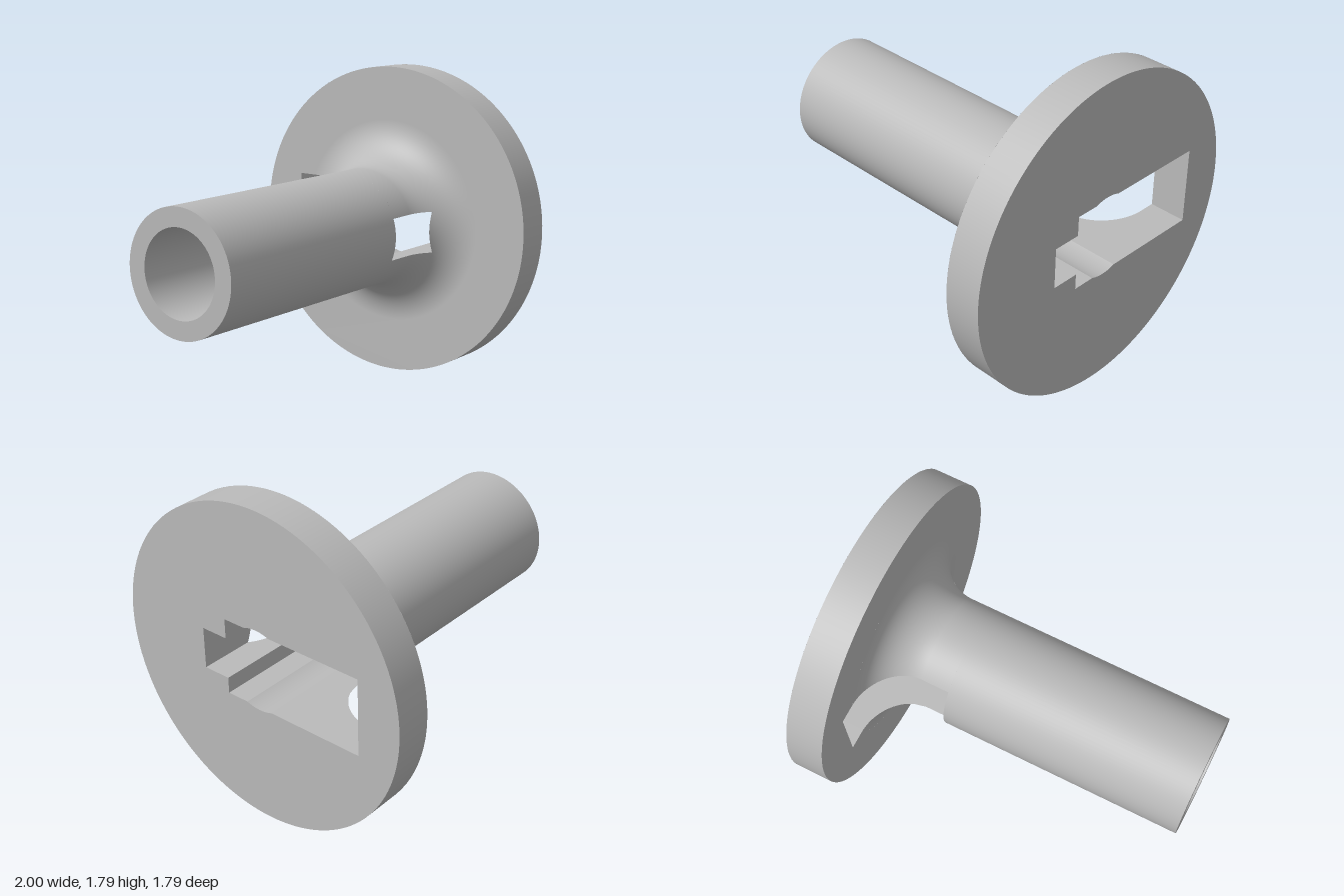
import * as THREE from 'three';
import { mergeGeometries } from 'three/addons/utils/BufferGeometryUtils.js';

// Main sizes: the part lies along x, its axis at height DISC
const DISC = 0.893, TUBE = 0.335, BORE = 0.233;
const CUT = 0.375, BACK = 0.79, END = 1;       // slot start, flange faces
const F = 0.255, FX = BACK - F, FR = TUBE + F; // fillet radius and centre
// Slot: wide rectangle plus a narrow keyway towards the front
const H = 0.218, REAR = 0.645, STEP = 0.21, KEY = 0.367, KT = 0.107, KB = 0.128;

export function createModel() {
  const grey = new THREE.MeshStandardMaterial({ color: 0xbababa, side: THREE.DoubleSide });
  grey.name = 'grey';
  const group = new THREE.Group();
  group.name = 'flangedSleeve';
  const body = new THREE.Group();
  body.name = 'body';
  body.position.y = DISC;
  group.add(body);
  const add = (name, geometry) => {
    const mesh = new THREE.Mesh(geometry, grey);
    mesh.name = name;
    body.add(mesh);
  };

  // Sharp-edged turned part: one lathe per profile segment
  const turned = (profile) => mergeGeometries(profile.slice(1).map((p, i) =>
    new THREE.LatheGeometry([new THREE.Vector2(...profile[i]), new THREE.Vector2(...p)], 96)
  )).rotateZ(-Math.PI / 2);

  add('tube', turned([[TUBE, -1], [TUBE, CUT], [BORE, CUT], [BORE, -1], [TUBE, -1]]));
  add('flangeRim', turned([[DISC, BACK], [DISC, END]]));

  // Slot outline as [-z, y], with the bore bulging past the slot
  const s = Math.asin(H / BORE);
  const outline = [];
  const line = (a, b, n = 24) => {
    for (let i = 0; i <= n; i++) {
      outline.push([a[0] + (b[0] - a[0]) * i / n, a[1] + (b[1] - a[1]) * i / n]);
    }
  };
  const arc = (from, to, n = 24) => {
    for (let i = 0; i <= n; i++) {
      const t = from + (to - from) * i / n;
      outline.push([BORE * Math.cos(t), BORE * Math.sin(t)]);
    }
  };
  const c = Math.sqrt(BORE * BORE - H * H), e = 1e-4;
  const cross = (v) => Math.sqrt(TUBE * TUBE - v * v); // where an edge leaves the tube
  line([REAR, -H], [REAR, H], 1);
  line([REAR, H], [cross(H) + e, H]);
  line([cross(H) - e, H], [c + e, H], 1);
  arc(s, Math.PI - s);
  line([-c - e, H], [-STEP, H], 1);
  line([-STEP, H], [-STEP, KT], 1);
  line([-STEP, KT], [-cross(KT) + e, KT], 1);
  line([-cross(KT) - e, KT], [-KEY, KT]);
  line([-KEY, KT], [-KEY, -KB]);
  line([-KEY, -KB], [-cross(KB) - e, -KB]);
  line([-cross(KB) + e, -KB], [-STEP, -KB], 1);
  line([-STEP, -KB], [-STEP, -H], 1);
  line([-STEP, -H], [-c - e, -H], 1);
  arc(Math.PI + s, 2 * Math.PI - s);
  line([c + e, -H], [cross(H) - e, -H], 1);
  line([cross(H) + e, -H], [REAR, -H]);

  // Slot walls run from the neck surface to the flange face
  const startX = (r) => r < TUBE ? CUT : r >= FR ? BACK : FX + Math.sqrt(F * F - (FR - r) ** 2);
  const wall = [];
  outline.forEach((p, i) => {
    const q = outline[(i + 1) % outline.length];
    if (Math.hypot(p[0] - q[0], p[1] - q[1]) < 1e-7) return;
    const p0 = [startX(Math.hypot(...p)), p[1], -p[0]], p1 = [END, p[1], -p[0]];
    const q0 = [startX(Math.hypot(...q)), q[1], -q[0]], q1 = [END, q[1], -q[0]];
    wall.push(...p0, ...p1, ...q1, ...p0, ...q1, ...q0);
  });
  const walls = new THREE.BufferGeometry();
  walls.setAttribute('position', new THREE.Float32BufferAttribute(wall, 3));
  walls.computeVertexNormals();
  add('slotWalls', walls);

  // Flange outer face with the slot opening
  const disc = () => new THREE.Shape().absarc(0, 0, DISC, 0, Math.PI * 2, false);
  const face = disc();
  const clean = outline.filter((p, i) => {
    const q = outline[(i + 1) % outline.length];
    return Math.hypot(p[0] - q[0], p[1] - q[1]) > 3e-4;
  });
  face.holes.push(new THREE.Path(clean.map((p) => new THREE.Vector2(...p))));
  add('flangeFace', new THREE.ShapeGeometry(face, 64).rotateY(Math.PI / 2).translate(END, 0, 0));

  // Flange inner face, open where the neck and slot meet it
  const back = disc();
  const g = Math.PI - Math.asin(H / FR);
  const hole = new THREE.Path();
  hole.moveTo(-REAR, -H);
  hole.lineTo(FR * Math.cos(g), -H);
  hole.absarc(0, 0, FR, -g, g, false);
  hole.lineTo(-REAR, H);
  hole.closePath();
  back.holes.push(hole);
  add('flangeBack', new THREE.ShapeGeometry(back, 64).rotateY(-Math.PI / 2).translate(BACK, 0, 0));

  // Neck surface: straight run and fillet, trimmed by angle at each radius
  const neck = (name, phi0, straight, from, to) => {
    const rows = straight ? [[CUT, TUBE, 0]] : [];
    const N = 32, M = 40, pos = [], nor = [], idx = [];
    for (let i = 0; i <= N; i++) {
      const f = phi0 + (Math.PI / 2 - phi0) * i / N;
      rows.push([FX + F * Math.sin(f), FR - F * Math.cos(f), f]);
    }
    rows.forEach(([x, r, f], i) => {
      for (let j = 0; j <= M; j++) {
        const t = from(r) + (to(r) - from(r)) * j / M;
        pos.push(x, r * Math.sin(t), r * Math.cos(t));
        nor.push(-Math.sin(f), Math.cos(f) * Math.sin(t), Math.cos(f) * Math.cos(t));
        if (i && j) {
          const d = i * (M + 1) + j, a = d - M - 2;
          idx.push(a, d - 1, d, a, d, a + 1);
        }
      }
    });
    const geometry = new THREE.BufferGeometry();
    geometry.setAttribute('position', new THREE.Float32BufferAttribute(pos, 3));
    geometry.setAttribute('normal', new THREE.Float32BufferAttribute(nor, 3));
    geometry.setIndex(idx);
    add(name, geometry);
  };
  const rear = (r) => Math.PI - Math.asin(H / r);
  const keyEdge = (r, h) => Math.min(Math.acos(Math.min(1, KEY / r)), Math.asin(h / r));
  neck('neckTop', 0, true, (r) => Math.asin(KT / r), rear);
  neck('neckBottom', 0, true, (r) => -rear(r), (r) => -Math.asin(KB / r));
  neck('neckFront', Math.acos((FR - KEY) / F), false, (r) => -keyEdge(r, KB), (r) => keyEdge(r, KT));

  return group;
}
